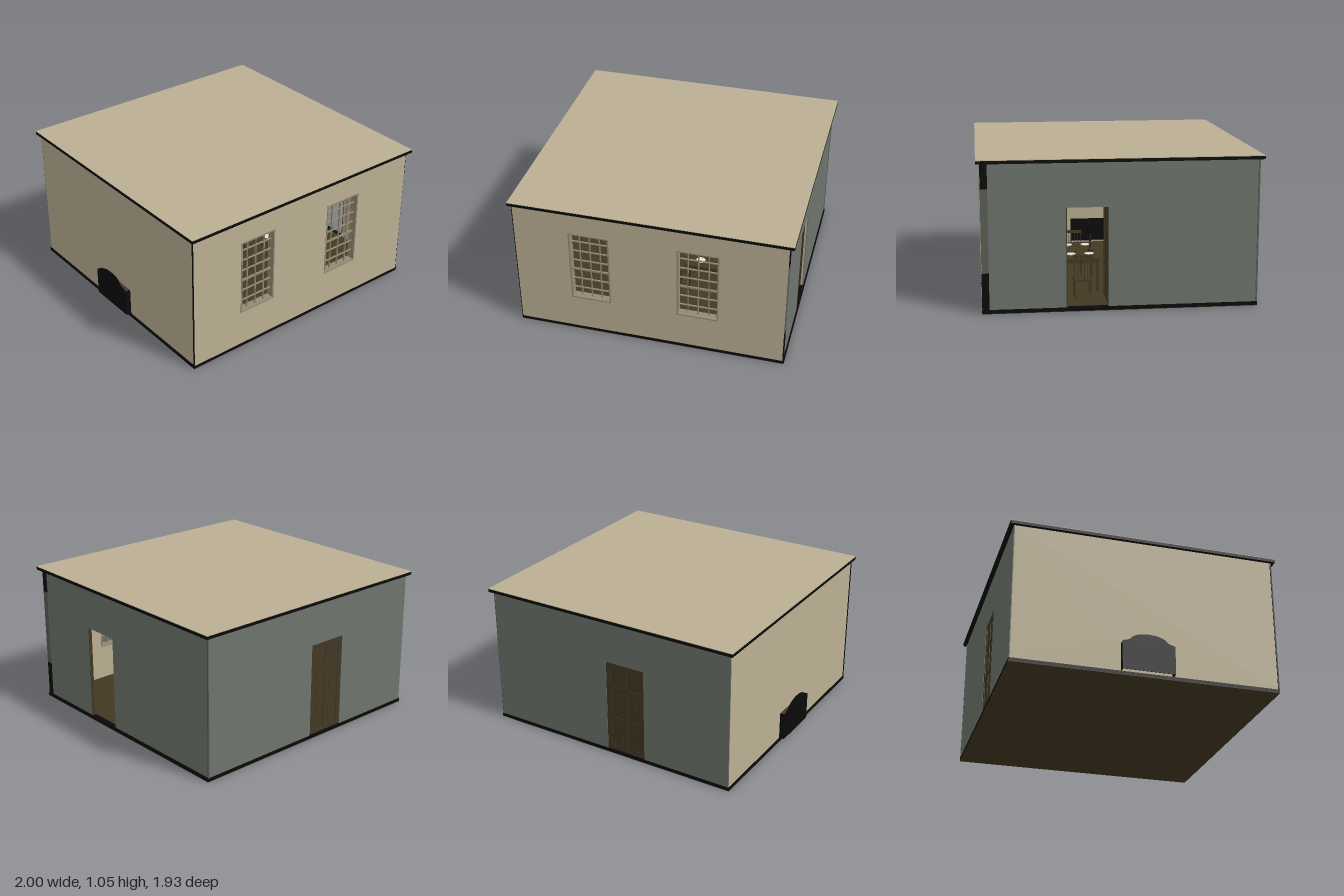
import * as THREE from 'three';

const mat = (name, color) => new THREE.MeshStandardMaterial({ name, color });

export function createModel() {
  const plaster = mat('tan plaster', 0xbbaf93);
  const green = mat('grey green', 0x6e756d);
  const black = mat('soot black', 0x0a0a0a);
  const wood = mat('dark wood', 0x433823);
  const sashPaint = mat('window paint', 0x938a74);
  const brass = mat('dark brass', 0x2a2415);
  const china = mat('white china', 0xe4dfd2);
  const trim = mat('grey trim', 0x5c5e57);

  const root = new THREE.Group();
  root.name = 'room';

  const group = (name, parent = root) => {
    const g = new THREE.Group();
    g.name = name;
    parent.add(g);
    return g;
  };
  const add = (name, geo, m, parent) => {
    const mesh = new THREE.Mesh(geo, m);
    mesh.name = name;
    parent.add(mesh);
    return mesh;
  };
  // Box given by its two opposite corners
  const box = (name, x0, x1, y0, y1, z0, z1, m, parent = root) => {
    const b = add(name, new THREE.BoxGeometry(x1 - x0, y1 - y0, z1 - z0), m, parent);
    b.position.set((x0 + x1) / 2, (y0 + y1) / 2, (z0 + z1) / 2);
    return b;
  };
  const rect = (P, x0, x1, y0, y1) =>
    new P([[x0, y0], [x1, y0], [x1, y1], [x0, y1]].map(([x, y]) => new THREE.Vector2(x, y)));
  // Upright panel facing local +z with rectangular holes
  const panel = (name, x0, x1, holes, z0, z1, m, parent) => {
    const s = rect(THREE.Shape, x0, x1, 0.025, 1.022);
    s.holes = holes.map((h) => rect(THREE.Path, ...h));
    const geo = new THREE.ExtrudeGeometry(s, { depth: z1 - z0, bevelEnabled: false });
    add(name, geo, m, parent).position.z = z0;
  };
  // Wall of two skins, outer face at distance d
  const wall = (name, angle, d, x0, x1, holes, outer) => {
    const g = group(name);
    g.rotation.y = angle;
    panel('innerSkin', x0, x1, holes, d - 0.02, d - 0.006, plaster, g);
    panel('outerSkin', x0, x1, holes, d - 0.006, d, outer, g);
    return g;
  };

  // Floor and roof slabs
  box('floorEdge', -0.966, 0.976, 0.003, 0.027, -0.945, 0.94, black);
  box('floorUnderside', -0.966, 0.976, 0, 0.003, -0.945, 0.94, wood);
  box('floorBoards', -0.94, 0.94, 0.027, 0.03, -0.92, 0.89, wood);
  box('roofEdge', -0.985, 1, 1.022, 1.044, -0.97, 0.965, black);
  box('roofTop', -0.985, 1, 1.044, 1.048, -0.97, 0.965, plaster);
  box('ceiling', -0.94, 0.94, 1.018, 1.022, -0.92, 0.89, plaster);

  // Walls
  const windows = [[-0.565, -0.275], [0.205, 0.5]];
  const sill = 0.29, head = 0.852;
  panel('frontWall', -0.96, 0.965, windows.map(([a, b]) => [a, b, sill, head]), 0.89, 0.94, plaster, root);
  wall('doorwayWall', Math.PI / 2, 0.967, -0.89, 0.94, [[-0.37, -0.085, 0.026, 0.715]], green);
  wall('backWall', Math.PI, 0.942, -0.966, 0.96, [[-0.015, 0.29, 0.026, 0.715]], green);
  wall('hearthWall', -Math.PI / 2, 0.961, -0.936, 0.935, [[-0.19, 0.18, 0.03, 0.23]], plaster);

  // End of the front wall and the corner strips
  box('wallEndLower', 0.965, 0.969, 0.025, 0.28, 0.89, 0.939, black);
  box('wallEndMiddle', 0.965, 0.969, 0.28, 0.852, 0.89, 0.939, trim);
  box('wallEndUpper', 0.965, 0.969, 0.852, 1.022, 0.89, 0.939, black);
  box('wallEndLeft', -0.965, -0.96, 0.025, 1.022, 0.93, 0.94, black);
  box('cornerStrip', 0.964, 0.971, 0.025, 1.022, -0.945, -0.933, trim);
  box('eavesTrim', -0.96, 0.965, 1.01, 1.022, 0.94, 0.944, sashPaint);

  // Sash windows: four panes wide, seven high
  for (const [a, b] of windows) {
    const g = group('sashWindow');
    for (const x of [a, b - 0.01])
      box('jamb', x, x + 0.01, sill, head, 0.885, 0.944, sashPaint, g);
    for (const y of [sill, head - 0.01])
      box('rail', a, b, y, y + 0.01, 0.885, 0.944, sashPaint, g);
    for (let i = 1; i < 4; i++) {
      const x = a + ((b - a) * i) / 4;
      box('verticalBar', x - 0.003, x + 0.003, sill, head, 0.908, 0.92, sashPaint, g);
    }
    for (let j = 1; j < 7; j++) {
      const y = sill + ((head - sill) * j) / 7, t = j === 3 ? 0.007 : 0.003;
      box('crossBar', a, b, y - t, y + t, 0.908, 0.92, sashPaint, g);
    }
  }

  // Six-panel doors, standing in the local xy plane
  const door = (name, w) => {
    const g = group(name), h = 0.685;
    box('panels', 0, w, 0, h, -0.004, 0.004, wood, g);
    for (const x of [0, w / 2 - 0.015, w - 0.035])
      box('stile', x, x + (x > 0 && x < w / 2 ? 0.03 : 0.035), 0, h, -0.009, 0.009, wood, g);
    for (const y of [0, 0.23, 0.47, h - 0.035])
      box('rail', 0, w, y, y + 0.035, -0.009, 0.009, wood, g);
    for (const x of [0.06, w / 2 + 0.028])
      for (const [y0, y1] of [[0.055, 0.21], [0.285, 0.45], [0.525, 0.63]])
        box('raisedField', x, x + w / 2 - 0.09, y0, y1, -0.006, 0.006, wood, g);
    return g;
  };
  door('backDoor', 0.305).position.set(-0.29, 0.03, -0.93);
  door('openDoor', 0.285).position.set(0.665, 0.03, 0.075);
  box('doorwayJamb', 0.945, 0.968, 0.027, 0.715, 0.366, 0.371, wood);
  box('backDoorHeader', -0.345, 0.07, 0.745, 0.76, -0.922, -0.9, wood);
  for (const x of [-0.325, 0.018])
    box('backDoorCasing', x, x + 0.032, 0.03, 0.745, -0.922, -0.912, wood);

  // Firebox: arched back plate and open-topped cheeks
  const hearth = group('fireplace');
  const arch = new THREE.Shape();
  arch.moveTo(-0.19, 0.03);
  arch.lineTo(0.18, 0.03);
  arch.lineTo(0.18, 0.235);
  arch.lineTo(0.13, 0.25);
  arch.quadraticCurveTo(0.1, 0.298, -0.005, 0.3);
  arch.quadraticCurveTo(-0.11, 0.298, -0.14, 0.25);
  arch.lineTo(-0.19, 0.235);
  const plate = add('fireback', new THREE.ExtrudeGeometry(arch, { depth: 0.004, bevelEnabled: false }), black, hearth);
  plate.rotation.y = -Math.PI / 2;
  plate.position.x = -0.996;
  for (const z of [-0.19, 0.176])
    box('cheek', -0.998, -0.94, 0.03, 0.23, z, z + 0.004, black, hearth);
  for (const z of [-0.27, 0.19])
    box('pilaster', -0.941, -0.91, 0.03, 0.44, z, z + 0.07, plaster, hearth);
  box('frieze', -0.941, -0.915, 0.25, 0.44, -0.2, 0.2, plaster, hearth);
  box('shelfMould', -0.941, -0.88, 0.44, 0.458, -0.4, 0.4, sashPaint, hearth);
  box('mantelShelf', -0.941, -0.86, 0.458, 0.475, -0.42, 0.42, plaster, hearth);

  // Chair rail and cornice inside
  for (const [y0, y1] of [[0.335, 0.352], [0.985, 1.018]]) {
    box('backRail', y0 < 0.5 ? 0.07 : -0.94, 0.94, y0, y1, -0.922, -0.91, plaster);
    box('hearthRail', -0.941, -0.93, y0, y1, -0.92, 0.89, plaster);
  }

  // Table with turned candlesticks and plates
  const table = group('table');
  box('tableTop', 0.12, 0.62, 0.262, 0.277, 0.1, 0.37, wood, table);
  box('apron', 0.15, 0.59, 0.235, 0.262, 0.115, 0.355, wood, table);
  for (const x of [0.14, 0.585])
    for (const z of [0.11, 0.345])
      box('tableLeg', x, x + 0.015, 0.03, 0.262, z, z + 0.015, wood, table);
  for (const [x, z] of [[0.22, 0.3], [0.22, 0.17], [0.5, 0.3], [0.5, 0.17]]) {
    const p = add('plate', new THREE.CylinderGeometry(0.035, 0.022, 0.008, 20), china, table);
    p.position.set(x, 0.281, z);
  }
  const profile = [[0, 0], [0.022, 0], [0.02, 0.006], [0.006, 0.012], [0.005, 0.035], [0.01, 0.042],
    [0.005, 0.05], [0.005, 0.07], [0.011, 0.075], [0.005, 0.08], [0.005, 0.125], [0, 0.125]]
    .map(([r, y]) => new THREE.Vector2(r, y));
  for (const [x, y, z] of [[0.385, 0.277, 0.15], [-0.9, 0.475, 0.305], [-0.9, 0.475, -0.305]])
    add('candlestick', new THREE.LatheGeometry(profile, 14), brass, root).position.set(x, y, z);

  // Spindle-back chairs at the ends of the table
  for (const [x, side] of [[0.02, -1], [0.7, 1]]) {
    const c = group('chair');
    c.position.set(x, 0, 0.24);
    c.scale.x = side;
    box('seat', -0.06, 0.06, 0.145, 0.157, -0.065, 0.065, wood, c);
    for (const lx of [-0.055, 0.045])
      for (const lz of [-0.06, 0.05])
        box('chairLeg', lx, lx + 0.01, 0.03, 0.145, lz, lz + 0.01, wood, c);
    for (let i = 0; i < 6; i++)
      box('spindle', 0.05, 0.055, 0.157, 0.32, -0.06 + i * 0.023, -0.055 + i * 0.023, wood, c);
    box('crestRail', 0.047, 0.058, 0.315, 0.335, -0.068, 0.068, wood, c);
  }
  return root;
}
